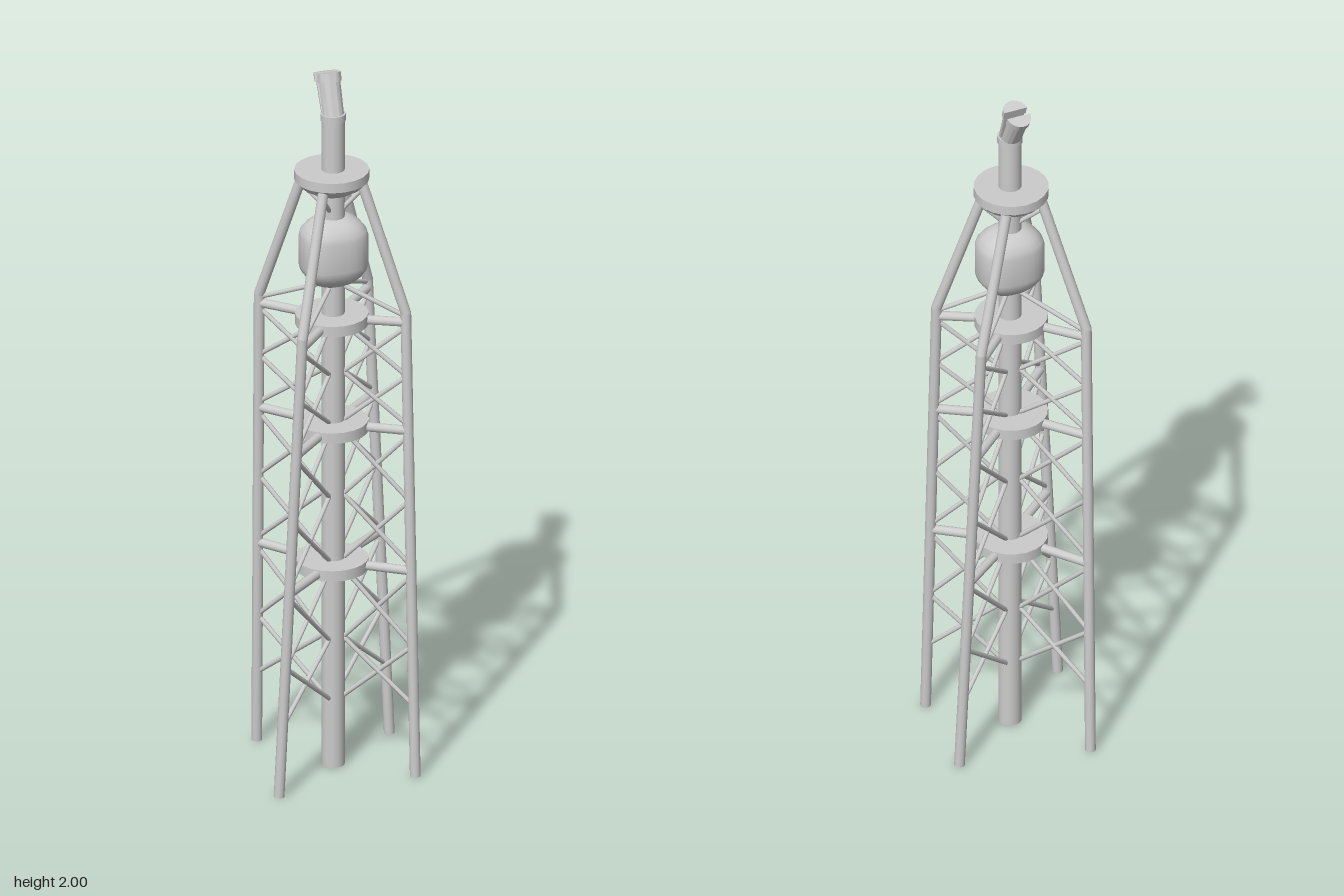
import * as THREE from 'three';
import { toCreasedNormals } from 'three/addons/utils/BufferGeometryUtils.js';

const V = (x, y, z) => new THREE.Vector3(x, y, z);
const CX = -0.001, CZ = 0.027; // axis of the central riser
const RISER = 0.031, LEG = 0.0143;
const mat = new THREE.MeshStandardMaterial({ color: 0xcccccc });

export function createModel() {
  const model = new THREE.Group();

  function add(name, geometry, parent = model) {
    const mesh = new THREE.Mesh(geometry, mat);
    mesh.name = name;
    parent.add(mesh);
    return mesh;
  }

  // Round bar between two points
  function bar(name, a, b, r, parent, sides = 12) {
    const d = b.clone().sub(a);
    const m = add(name, new THREE.CylinderGeometry(r, r, d.length(), sides), parent);
    m.position.copy(a).addScaledVector(d, 0.5);
    m.quaternion.setFromUnitVectors(V(0, 1, 0), d.normalize());
  }

  // Upright cylinder or cone near the central axis
  function drum(name, y0, y1, rTop, rBottom = rTop, x = CX, z = CZ) {
    add(name, new THREE.CylinderGeometry(rTop, rBottom, y1 - y0, 20))
      .position.set(x, (y0 + y1) / 2, z);
  }

  // Central riser, top platform with its bowl, and level discs
  const levels = [1.294, 0.985, 0.585];
  drum('centralRiser', 0, 1.885, RISER);
  drum('riserCollar', 1.868, 1.888, 0.034);
  drum('topPlatform', 1.698, 1.725, 0.1, 0.1, -0.004, 0.025);
  drum('platformBowl', 1.68, 1.698, 0.098, 0.083, -0.004, 0.025);
  drum('platformBowlBase', 1.665, 1.68, 0.083, 0.058, -0.004, 0.025);
  for (const y of levels) drum('levelDisc', y - 0.015, y + 0.015, 0.098, 0.098, -0.004, 0.025);

  // Tank with sloped shoulders: lathe with its plan squared off and flattened in z
  const profile = [[0, 1.392], [0.036, 1.394], [0.056, 1.403], [0.074, 1.419], [0.087, 1.437],
    [0.091, 1.452], [0.091, 1.535], [0.087, 1.55], [0.074, 1.567], [0.058, 1.58],
    [0.04, 1.589], [0, 1.591]].map(([r, y]) => new THREE.Vector2(r, y));
  const tank = new THREE.LatheGeometry(profile, 32);
  const p = tank.attributes.position;
  for (let i = 0; i < p.count; i++) {
    const x = p.getX(i), z = p.getZ(i), r = Math.hypot(x, z);
    if (r < 1e-6) continue;
    const k = (Math.abs(x / r) ** 2.6 + Math.abs(z / r) ** 2.6) ** (-1 / 2.6);
    p.setX(i, x * k);
    p.setZ(i, z * k * 0.82);
  }
  add('tank', toCreasedNormals(tank, 0.6)).position.set(0, 0, CZ);

  // Legs: foot, knee and top, each with its own twist
  const legs = [
    [V(-0.137, 0, -0.19), V(-0.151, 1.32, -0.133), V(-0.068, 1.69, -0.03)],
    [V(0.208, 0, -0.11), V(0.153, 1.32, -0.128), V(0.043, 1.69, -0.047)],
    [V(0.175, 0, 0.18), V(0.17, 1.32, 0.121), V(0.07, 1.69, 0.05)],
    [V(-0.21, 0, 0.181), V(-0.147, 1.32, 0.189), V(-0.052, 1.69, 0.09)],
  ];
  const nodes = [1.28, 1.14, 1.0, 0.97, 0.785, 0.6, 0.57, 0.37, 0.2];
  for (const [foot, knee, top] of legs) {
    const leg = new THREE.Group();
    leg.name = 'legFrame';
    model.add(leg);
    bar('lowerLeg', foot, knee, LEG, leg, 16);
    bar('upperLeg', knee, top, LEG, leg, 16);
    add('knee', new THREE.SphereGeometry(LEG, 16, 10), leg).position.copy(knee);

    // Joints on the leg, and on the riser's surface facing it
    const onLeg = (y) => foot.clone().lerp(knee, y / knee.y);
    const facing = V(knee.x - CX, 0, knee.z - CZ).setLength(RISER - 0.004);
    const onRiser = (y) => V(CX, y, CZ).add(facing);
    for (const y of levels) bar('levelArm', onRiser(y), onLeg(y), 0.0125, leg);

    // Two crossed pairs of braces in each bay
    nodes.forEach((y, i) => {
      if (i % 3 === 2) return;
      const low = nodes[i + 1];
      bar('brace', onLeg(y), onRiser(low), 0.0064, leg, 8);
      bar('brace', onLeg(low), onRiser(y), 0.0064, leg, 8);
    });
    bar('kneeBrace', onLeg(1.31), onRiser(1.39), 0.0064, leg, 8);
    bar('topBrace', knee.clone().lerp(top, 0.95), onRiser(1.615), 0.0064, leg, 8);
  }

  // Split spout: two half-round pipes leaning back and parting from the collar up
  function halfPipe(name, front, r, t0, baseZ, topZ, height, tilt) {
    const shape = new THREE.Shape();
    shape.absarc(0, 0, r, front ? Math.PI : 0, front ? 2 * Math.PI : Math.PI, false);
    const g = new THREE.ExtrudeGeometry(shape, { depth: 1, bevelEnabled: false, curveSegments: 12 });
    const q = g.attributes.position;
    for (let i = 0; i < q.count; i++) {
      const t = t0 + (1 - t0) * q.getZ(i), z = -q.getY(i);
      q.setXYZ(i, q.getX(i), 1.88 + height * t + tilt * t * z, baseZ + (topZ - baseZ) * t + z);
    }
    add(name, toCreasedNormals(g, 0.6)).position.x = CX;
  }
  halfPipe('frontSpout', true, 0.029, 0, CZ + 0.002, -0.01, 0.111, 0.3);
  halfPipe('frontSpoutLip', true, 0.033, 0.8, CZ + 0.002, -0.01, 0.111, 0.3);
  halfPipe('backSpout', false, 0.029, 0, CZ - 0.004, -0.03, 0.105, 0.4);
  halfPipe('backSpoutLip', false, 0.033, 0.8, CZ - 0.004, -0.03, 0.105, 0.4);

  return model;
}
